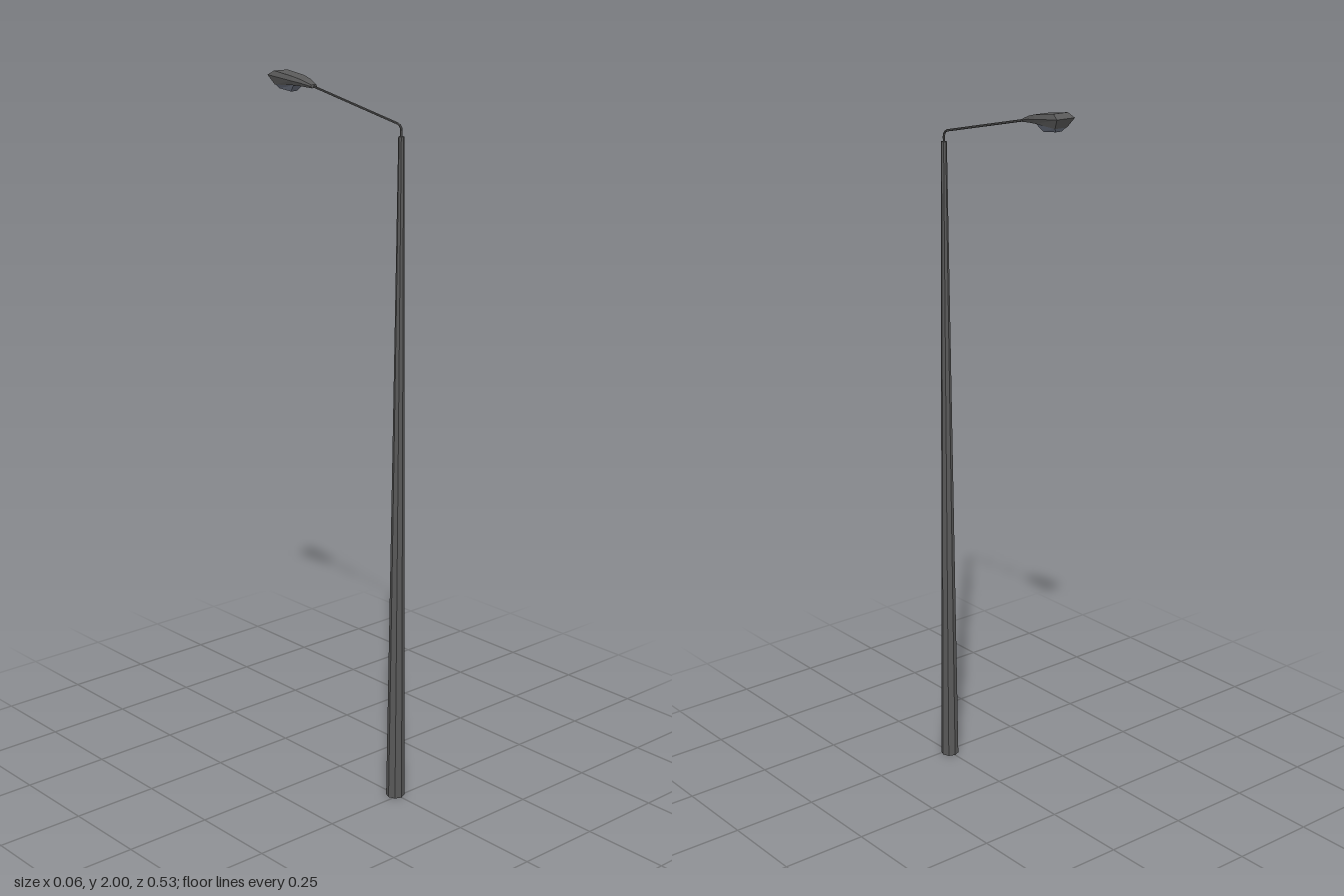
import * as THREE from 'three';

const POLE_Z = 0.238;

// Lofts mirrored cross-sections from front to back. Each section lists its
// right-hand points [x, y, z] from bottom to top; the left half is mirrored.
function loftMirrored(sections) {
  const rings = sections.map((half) => [
    ...half,
    ...half.slice().reverse().map(([x, y, z]) => [-x, y, z]),
  ]);
  const n = rings[0].length;
  const positions = [];
  const quad = (a, b, c, d) => positions.push(...a, ...b, ...c, ...a, ...c, ...d);

  for (let i = 0; i < rings.length - 1; i++) {
    const r = rings[i], s = rings[i + 1];
    for (let j = 0; j < n; j++) {
      const k = (j + 1) % n;
      quad(r[j], s[j], s[k], r[k]);
    }
  }
  // End caps, as strips across the mirrored pairs
  const first = rings[0], last = rings[rings.length - 1];
  for (let j = 0; j < n / 2 - 1; j++) {
    const p = n - 2 - j, q = n - 1 - j;
    quad(first[j], first[j + 1], first[p], first[q]);
    quad(last[q], last[p], last[j + 1], last[j]);
  }
  const geometry = new THREE.BufferGeometry();
  geometry.setAttribute('position', new THREE.Float32BufferAttribute(positions, 3));
  geometry.computeVertexNormals();
  return geometry;
}

export function createModel() {
  const group = new THREE.Group();
  const metal = new THREE.MeshStandardMaterial({ color: 0x595959, flatShading: true });
  const glass = new THREE.MeshStandardMaterial({ color: 0x666c7a, flatShading: true });

  const add = (name, geometry, material) => {
    const mesh = new THREE.Mesh(geometry, material);
    mesh.name = name;
    group.add(mesh);
    return mesh;
  };

  // Tapered eight-sided pole
  const poleHeight = 1.866;
  add('pole', new THREE.CylinderGeometry(0.008, 0.026, poleHeight, 8), metal)
    .position.set(0, poleHeight / 2, POLE_Z);

  // Thin arm: short upright, tight bend, then a rising straight run
  const v = (y, z) => new THREE.Vector3(0, y, z);
  const path = new THREE.CurvePath();
  path.add(new THREE.LineCurve3(v(1.855, POLE_Z), v(1.88, POLE_Z)));
  path.add(new THREE.QuadraticBezierCurve3(v(1.88, POLE_Z), v(1.896, POLE_Z), v(1.899, 0.218)));
  path.add(new THREE.LineCurve3(v(1.899, 0.218), v(1.968, -0.115)));
  add('arm', new THREE.TubeGeometry(path, 48, 0.0032, 6), metal);

  // Lamp housing: bottom edge, widest rim and top edge at each section
  add('lampHousing', loftMirrored([
    [[0.008, 1.962, -0.105], [0.011, 1.967, -0.105], [0.009, 1.971, -0.107]],
    [[0.015, 1.965, -0.14], [0.020, 1.974, -0.14], [0.017, 1.983, -0.14]],
    [[0.020, 1.966, -0.17], [0.026, 1.978, -0.17], [0.022, 1.990, -0.17]],
    [[0.020, 1.962, -0.246], [0.030, 1.988, -0.265], [0.024, 2.0, -0.244]],
  ]), metal);

  // Lens hanging below the housing
  add('lens', loftMirrored([
    [[0.010, 1.947, -0.19], [0.018, 1.967, -0.168]],
    [[0.010, 1.952, -0.238], [0.0195, 1.963, -0.245]],
  ]), glass);

  return group;
}
